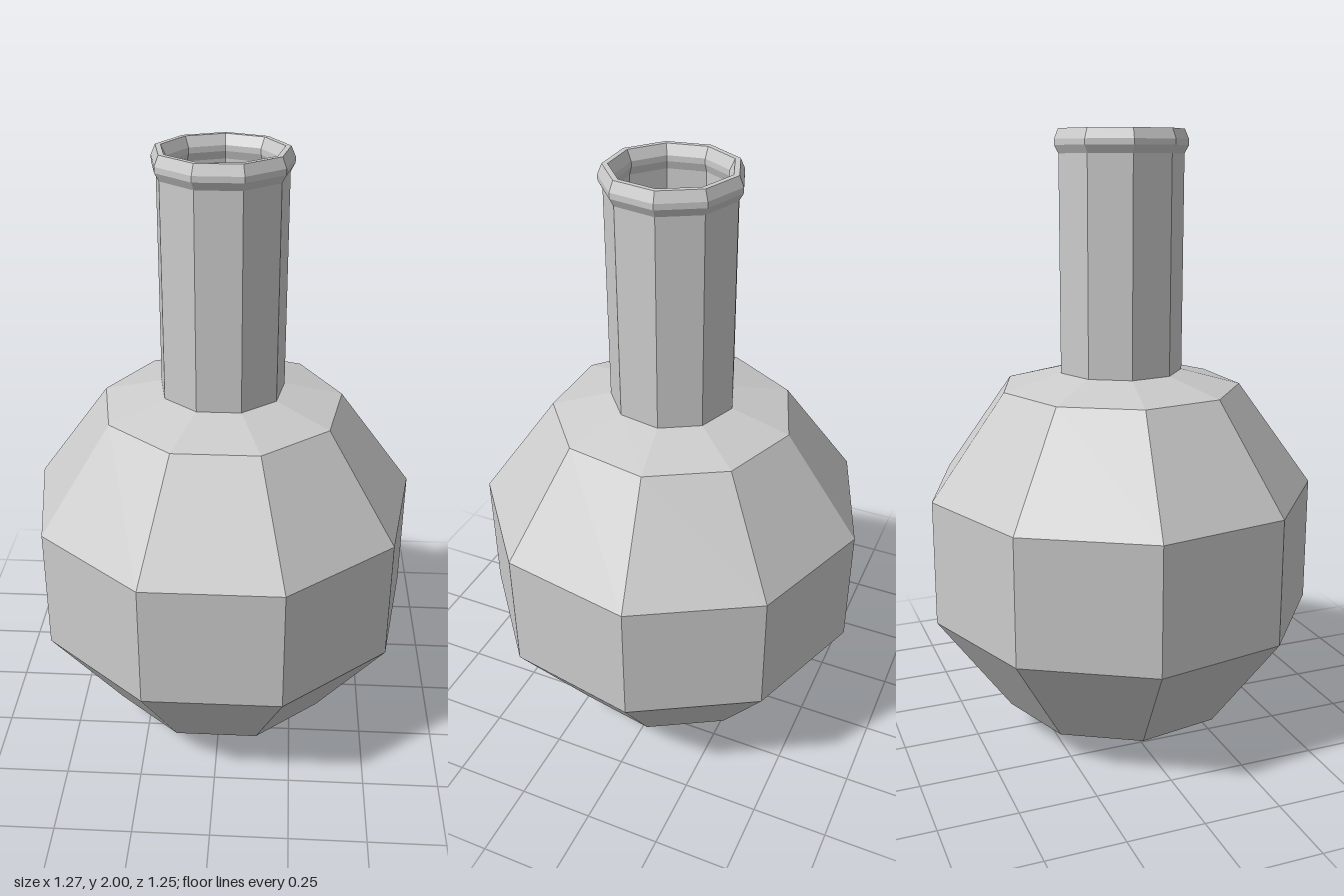
import * as THREE from 'three';

const SIDES = 9;

// Nine-sided faceted turning with a corner pointing to the back
function turned(name, points, color) {
  const profile = points.map(([r, y]) => new THREE.Vector2(r, y));
  const geometry = new THREE.LatheGeometry(profile, SIDES, Math.PI);
  const material = new THREE.MeshStandardMaterial({ color, flatShading: true, side: THREE.DoubleSide });
  const mesh = new THREE.Mesh(geometry, material);
  mesh.name = name;
  return mesh;
}

export function createModel() {
  const flask = new THREE.Group();
  flask.name = 'flask';

  // Glass wall: dimpled base, bulb and neck outside, then back down the inside
  flask.add(turned('glass', [
    [0, 0.06], [0.161, 0], [0.397, 0.09], [0.643, 0.43], [0.643, 0.845],
    [0.397, 1.185], [0.204, 1.235], [0.204, 1.93],
    [0.18, 1.93], [0.18, 1.21], [0.382, 1.16], [0.615, 0.835], [0.615, 0.44],
    [0.382, 0.115], [0.161, 0.085], [0, 0.085],
  ], 0xcccccc));

  // Rolled lip around the mouth
  flask.add(turned('lip', [
    [0.18, 1.925], [0.204, 1.925], [0.218, 1.95], [0.218, 1.968], [0.204, 2],
    [0.187, 2], [0.171, 1.968], [0.171, 1.95], [0.18, 1.925],
  ], 0xcccccc));

  // Liquid filling the lower bulb
  flask.add(turned('liquid', [
    [0, 0.09], [0.16, 0.09], [0.378, 0.12], [0.61, 0.445], [0.61, 0.8], [0, 0.8],
  ], 0x8a0ab4));

  // An odd number of sides puts the axis slightly forward of the centre
  flask.position.z = 0.018;
  const model = new THREE.Group();
  model.name = 'roundFlask';
  model.add(flask);
  return model;
}
